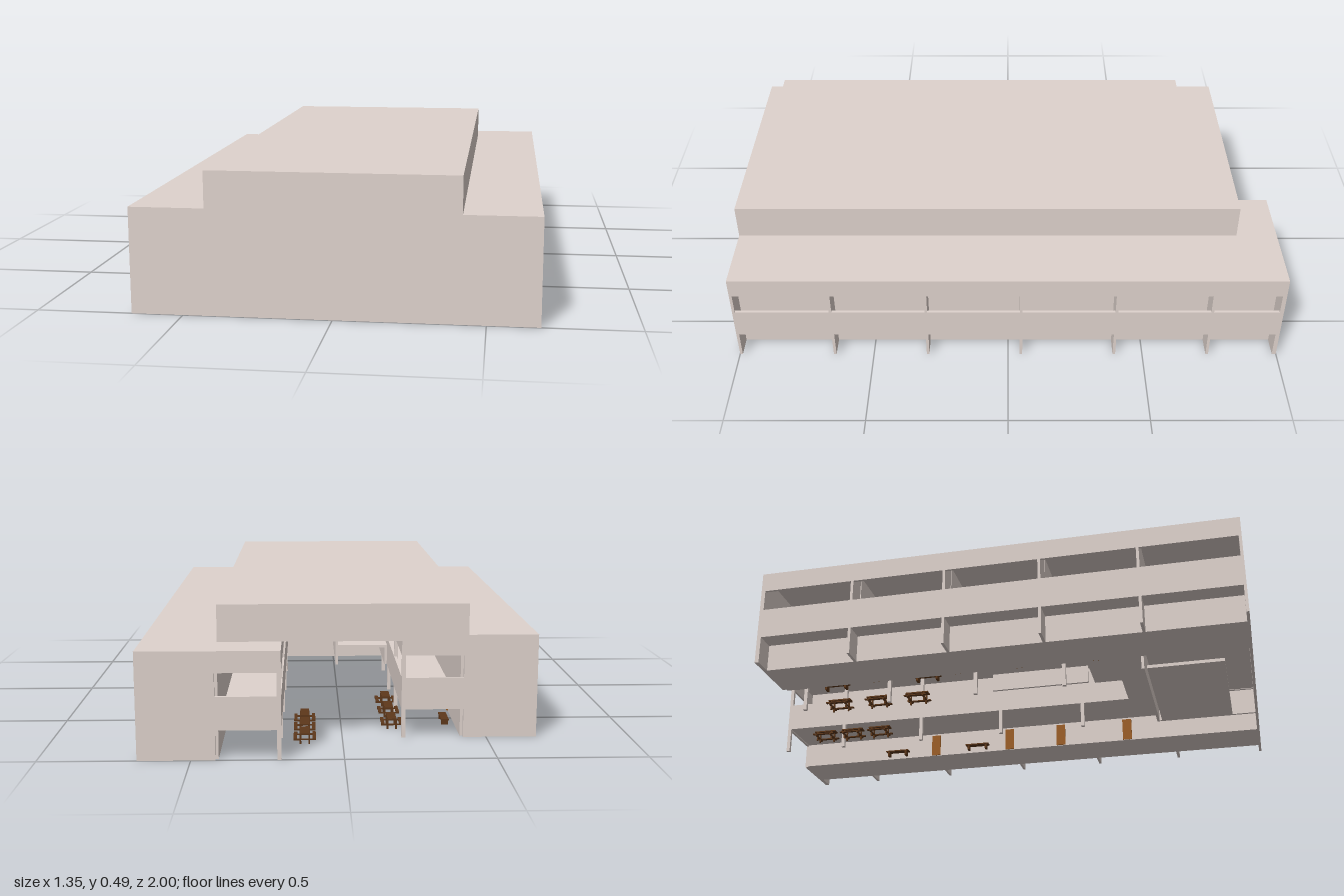
import * as THREE from 'three';

export function createModel() {
  const root = new THREE.Group();
  root.name = 'schoolBuilding';
  const concrete = new THREE.MeshStandardMaterial({ color: 0xdfd3cd });
  concrete.name = 'warm grey concrete';
  const doorWood = new THREE.MeshStandardMaterial({ color: 0x9c5f28 });
  doorWood.name = 'door wood';
  const benchWood = new THREE.MeshStandardMaterial({ color: 0x5e381b });
  benchWood.name = 'bench wood';

  // Box given by its two opposite corners
  function box(parent, name, x0, x1, y0, y1, z0, z1, mat = concrete) {
    const geo = new THREE.BoxGeometry(Math.abs(x1 - x0), y1 - y0, Math.abs(z1 - z0));
    const mesh = new THREE.Mesh(geo, mat);
    mesh.name = name;
    mesh.position.set((x0 + x1) / 2, (y0 + y1) / 2, (z0 + z1) / 2);
    parent.add(mesh);
    return mesh;
  }

  // Stepped front wall
  const outline = new THREE.Shape([
    [-0.675, 0], [0.675, 0], [0.675, 0.362], [0.42, 0.362],
    [0.42, 0.488], [-0.42, 0.488], [-0.42, 0.362], [-0.675, 0.362],
  ].map(([x, y]) => new THREE.Vector2(x, y)));
  const front = new THREE.Mesh(
    new THREE.ExtrudeGeometry(outline, { depth: 0.01, bevelEnabled: false }), concrete);
  front.name = 'frontWall';
  front.position.z = 0.99;
  root.add(front);

  // Raised roof over the courtyard
  box(root, 'courtyardRoof', -0.42, 0.42, 0.362, 0.488, -0.85, 0.99);

  const bays = [0.645, 0.298, -0.048, -0.395, -0.742];

  // One classroom wing; s is +1 for the left wing, -1 for the right wing
  function wing(s, back) {
    const g = new THREE.Group();
    g.name = s > 0 ? 'leftWing' : 'rightWing';
    root.add(g);
    const b = (name, x0, x1, y0, y1, z0, z1, mat) =>
      box(g, name, s * x0, s * x1, y0, y1, z0, z1, mat);
    const F = 0.99;
    b('groundFloor', 0.41, 0.6, 0, 0.012, back + 0.015, F);
    b('upperFloor', 0.21, 0.665, 0.1, 0.115, back + 0.015, F);
    b('wingRoof', 0.205, 0.675, 0.347, 0.362, back, F);
    b('lowerSpandrel', 0.665, 0.675, 0.1, 0.212, back, F);
    b('roofFascia', 0.665, 0.675, 0.29, 0.347, back, F);
    b('recessedLowerWall', 0.59, 0.6, 0.012, 0.1, back + 0.015, F);
    b('recessedUpperWall', 0.59, 0.6, 0.115, 0.25, back + 0.015, F);
    b('courtyardWall', 0.41, 0.42, 0, 0.347, back + 0.015, F);
    b('endWall', 0.42, 0.675, 0, 0.347, back, back + 0.015);
    // Balcony parapet and courtyard fascia
    b('balconyParapet', 0.205, 0.215, 0.1, 0.212, back, 0.6);
    b('balconyEndParapet', 0.215, 0.42, 0.1, 0.212, back, back + 0.01);
    b('courtyardFascia', 0.205, 0.215, 0.29, 0.362, back, F);
    b('endFascia', 0.215, 0.42, 0.29, 0.347, back, back + 0.01);
    // Facade fins, room partitions and courtyard columns
    const lines = bays.filter((z) => z > back + 0.05);
    for (const z of lines) {
      b('facadeFin', 0.6, 0.675, 0, 0.347, z - 0.005, z + 0.005);
      b('classroomPartition', 0.42, 0.59, 0.012, 0.347, z - 0.004, z + 0.004);
    }
    for (const z of [back + 0.007, ...lines.filter((l) => l < 0.5)]) {
      b('balconyColumn', 0.205, 0.219, 0, 0.347, z - 0.007, z + 0.007);
    }
    // Classroom doors
    for (const z of [0.455, 0.17, -0.055, -0.385]) {
      b('classroomDoor', 0.405, 0.41, 0.002, 0.092, z - 0.019, z + 0.019, doorWood);
    }
  }
  wing(1, -1);
  wing(-1, -0.75);

  // Room block across the front end of the courtyard
  const block = new THREE.Group();
  block.name = 'frontBlock';
  root.add(block);
  box(block, 'blockFloor', -0.3, 0.22, 0, 0.012, 0.62, 0.9);
  box(block, 'blockSideWall', 0.22, 0.23, 0, 0.347, 0.6, 0.99);
  box(block, 'blockBackWall', -0.3, 0.22, 0, 0.1, 0.6, 0.61);
  box(block, 'blockUpperFloor', -0.205, 0.205, 0.1, 0.115, 0.5, 0.99);
  box(block, 'blockParapet', -0.205, 0.205, 0.1, 0.212, 0.49, 0.5);
  box(block, 'blockDoor', 0.23, 0.235, 0.002, 0.092, 0.65, 0.69, doorWood);

  // Raised platform with a hanging rim and a side wall
  const deck = new THREE.Group();
  deck.name = 'courtyardPlatform';
  root.add(deck);
  box(deck, 'platformFrontSlab', -0.2, 0.17, 0.17, 0.18, 0.36, 0.49);
  box(deck, 'platformRearSlab', -0.2, 0, 0.17, 0.18, -0.03, 0.36);
  box(deck, 'platformSideRim', -0.204, -0.194, 0.1, 0.18, -0.03, 0.49);
  box(deck, 'platformWall', -0.005, 0.005, 0.1, 0.28, -0.03, 0.36);

  // Picnic table: top, two seats and trestle legs
  function table(x, z) {
    const g = new THREE.Group();
    g.name = 'picnicTable';
    g.position.set(x, 0, z);
    root.add(g);
    box(g, 'tableTop', -0.016, 0.016, 0.036, 0.041, -0.045, 0.045, benchWood);
    for (const s of [-1, 1]) {
      box(g, 'seat', s * 0.026, s * 0.038, 0.019, 0.023, -0.045, 0.045, benchWood);
      box(g, 'crossBar', -0.038, 0.038, 0.014, 0.019, s * 0.028, s * 0.034, benchWood);
      for (const t of [-1, 1]) {
        box(g, 'leg', t * 0.012, t * 0.018, 0, 0.036, s * 0.028, s * 0.034, benchWood);
      }
    }
  }
  for (const z of [-0.79, -0.67, -0.55]) table(0.13, z);
  for (const z of [-0.61, -0.45, -0.29]) table(-0.18, z);

  // Benches along the classroom walls
  function bench(x, z) {
    const g = new THREE.Group();
    g.name = 'wallBench';
    g.position.set(x, 0, z);
    root.add(g);
    box(g, 'benchSeat', -0.014, 0.014, 0.018, 0.023, -0.05, 0.05, benchWood);
    for (const s of [-1, 1]) {
      box(g, 'benchLeg', -0.012, 0.012, 0, 0.018, s * 0.034, s * 0.042, benchWood);
    }
  }
  for (const s of [-1, 1]) for (const z of [-0.55, -0.19]) bench(s * 0.375, z);

  return root;
}
